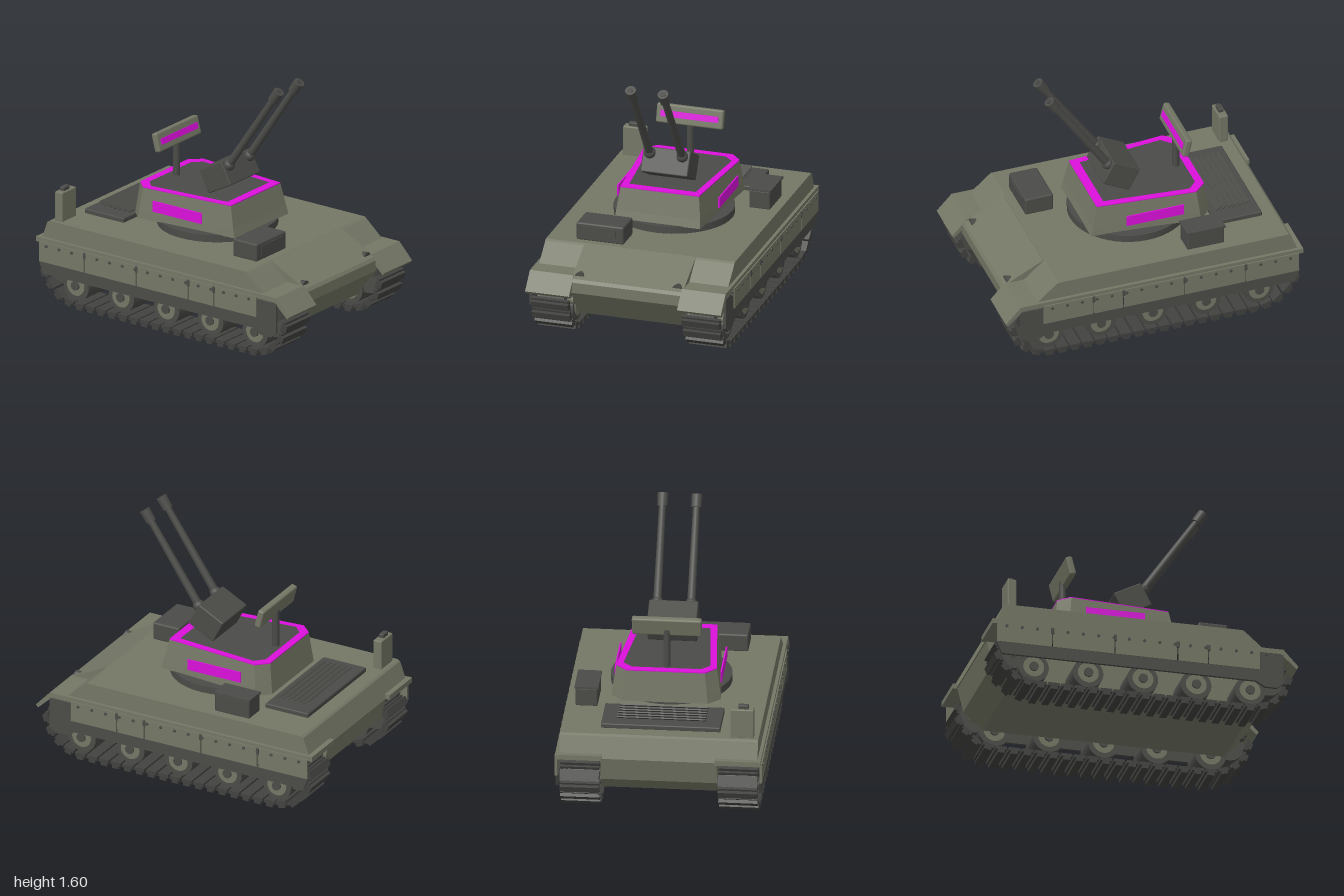
import * as THREE from 'three';
import { RoundedBoxGeometry } from 'three/addons/geometries/RoundedBoxGeometry.js';

const paint = (name, color) => Object.assign(new THREE.MeshStandardMaterial({ color }), { name });

export function createModel() {
  const olive = paint('olive paint', 0x747765);
  const dark = paint('dark metal', 0x4b4c48);
  const rubber = paint('track steel', 0x424340);
  const magenta = paint('magenta marking', 0xdc10dc);
  const model = new THREE.Group();
  model.name = 'twinGunTank';

  const add = (name, geo, mat, x = 0, y = 0, z = 0, parent = model) => {
    const m = new THREE.Mesh(geo, mat);
    m.name = name;
    m.position.set(x, y, z);
    parent.add(m);
    return m;
  };
  // box given by its minimum and maximum corners
  const box = (name, mat, [x0, y0, z0], [x1, y1, z1], round = 0) => {
    const s = [x1 - x0, y1 - y0, z1 - z0];
    const geo = round ? new RoundedBoxGeometry(...s, 2, round) : new THREE.BoxGeometry(...s);
    return add(name, geo, mat, (x0 + x1) / 2, (y0 + y1) / 2, (z0 + z1) / 2);
  };
  const shapeOf = (pts) => new THREE.Shape(pts.map((p) => new THREE.Vector2(...p)));
  // side profile in x and y, swept from z0 to z1
  const slab = (name, mat, pts, z0, z1) =>
    add(name, new THREE.ExtrudeGeometry(shapeOf(pts), { depth: z1 - z0, bevelEnabled: false }), mat, 0, 0, z0);
  const slabPair = (name, mat, pts, z0, z1) => {
    slab(name, mat, pts, z0, z1);
    slab(name, mat, pts, -z1, -z0);
  };

  // Hull
  slab('upperHull', olive, [[-0.975, 0.41], [0.81, 0.41], [0.655, 0.545], [0.64, 0.555], [-0.91, 0.555], [-0.925, 0.545]], -0.63, 0.63);
  slab('lowerHull', olive, [[-0.8, 0.137], [0.78, 0.137], [0.93, 0.33], [0.93, 0.4], [0.915, 0.42],
    [0.65, 0.555], [0.5, 0.5], [-0.9, 0.5], [-0.97, 0.42], [-0.93, 0.25]], -0.37, 0.37);

  // Fenders with sloping front flaps
  slabPair('fender', olive, [[-1, 0.405], [0.885, 0.405], [0.985, 0.312], [1, 0.33], [0.9, 0.438], [-1, 0.438]], 0.36, 0.652);

  // Side skirts: rubber strip, bolted panels and rivets
  slabPair('skirtStrip', dark, [[-0.975, 0.28], [-0.94, 0.2], [0.72, 0.2], [0.78, 0.165], [0.86, 0.165],
    [0.9, 0.2], [0.9, 0.4], [0.75, 0.4], [0.75, 0.28]], 0.637, 0.655);
  const seams = [-0.975, -0.61, -0.2, 0.21, 0.41, 0.75];
  const rivet = new THREE.CylinderGeometry(0.01, 0.01, 0.008, 8).rotateX(Math.PI / 2);
  for (const s of [-1, 1]) {
    for (let i = 0; i < 5; i++) {
      const w = seams[i + 1] - seams[i] - 0.012;
      const cx = (seams[i] + seams[i + 1]) / 2;
      add('skirtPanel', new THREE.BoxGeometry(w, 0.135, 0.016), olive, cx, 0.347, s * 0.652);
      if (i > 0) add('skirtHinge', new THREE.BoxGeometry(0.02, 0.04, 0.012), dark, seams[i], 0.39, s * 0.657);
    }
    for (let i = 0; i < 18; i++) add('skirtRivet', rivet, dark, -0.91 + i * 0.1, 0.39, s * 0.662);
  }

  // Running gear: road wheels, end sprockets and track links
  const disc = (r, d) => new THREE.CylinderGeometry(r, r, d, 28).rotateX(Math.PI / 2);
  const tyre = disc(0.1, 0.2), rim = disc(0.068, 0.212), hub = disc(0.03, 0.235);
  const sprocket = disc(0.1, 0.16);
  const path = new THREE.CurvePath();
  const loop = [[-0.72, 0.03], [0.7, 0.03], [0.81, 0.06], [0.9, 0.14], [0.935, 0.24], [0.89, 0.32], [0.8, 0.355],
    [-0.85, 0.355], [-0.93, 0.32], [-0.968, 0.24], [-0.93, 0.15], [-0.83, 0.06]].map((p) => new THREE.Vector2(...p));
  loop.forEach((p, i) => path.add(new THREE.LineCurve(p, loop[(i + 1) % loop.length])));
  const links = Math.round(path.getLength() / 0.085);
  const plate = new THREE.BoxGeometry(0.074, 0.022, 0.25);
  const pad = new THREE.BoxGeometry(0.046, 0.022, 0.25);
  for (const s of [-1, 1]) {
    for (const x of [-0.72, -0.363, -0.005, 0.343, 0.695]) {
      add('roadWheelTyre', tyre, dark, x, 0.152, s * 0.5);
      add('roadWheelRim', rim, olive, x, 0.152, s * 0.5);
      add('roadWheelHub', hub, dark, x, 0.152, s * 0.5);
    }
    for (const x of [-0.85, 0.82]) {
      add('sprocket', sprocket, dark, x, 0.24, s * 0.5);
      add('sprocketHub', hub, olive, x, 0.24, s * 0.5);
    }
    const track = new THREE.Group();
    track.name = 'track';
    model.add(track);
    for (let i = 0; i < links; i++) {
      const u = (i + 0.5) / links;
      const p = path.getPointAt(u), t = path.getTangentAt(u);
      const link = new THREE.Group();
      link.name = 'trackLink';
      link.position.set(p.x, p.y, s * 0.503);
      link.rotation.z = Math.atan2(t.y, t.x);
      add('linkPlate', plate, rubber, 0, 0.005, 0, link);
      add('linkPad', pad, rubber, 0, -0.017, 0, link);
      track.add(link);
    }
  }

  // Deck fittings
  box('engineGrilleFrame', dark, [-0.82, 0.55, -0.38], [-0.51, 0.585, 0.38], 0.008);
  for (let i = 0; i < 6; i++) {
    const slat = add('grilleSlat', new THREE.BoxGeometry(0.05, 0.007, 0.56), dark, -0.75 + i * 0.037, 0.602, 0);
    slat.rotation.z = -0.55;
  }
  box('frontStowageBox', dark, [0.4, 0.55, 0.13], [0.59, 0.67, 0.445], 0.012);
  box('stowageLid', dark, [0.585, 0.595, 0.18], [0.596, 0.65, 0.4]);
  box('sideStowageBox', dark, [-0.5, 0.55, -0.57], [-0.25, 0.675, -0.43], 0.01);
  box('sideStowageLid', dark, [-0.505, 0.672, -0.577], [-0.245, 0.685, -0.425]);
  box('rearPost', olive, [-0.89, 0.55, 0.45], [-0.83, 0.75, 0.6], 0.008);
  box('rearPostCap', dark, [-0.877, 0.745, 0.5], [-0.843, 0.775, 0.565], 0.006);
  for (const s of [-1, 1]) {
    const lamp = add('headlight', new THREE.CylinderGeometry(0.033, 0.025, 0.06, 16), dark, 0.86, 0.425, s * 0.325);
    lamp.rotation.z = -Math.PI / 2;
  }

  // Turret: tapered six-sided body on a round ring
  add('turretRing', new THREE.CylinderGeometry(0.385, 0.385, 0.05, 48), dark, -0.05, 0.578, 0);
  const outline = (a, az, b, bz, c, cz) => [[a, az], [b, bz], [c, cz], [c, -cz], [b, -bz], [a, -az]];
  const levels = [
    [0.6, outline(-0.5, 0.27, -0.42, 0.348, 0.297, 0.285)],
    [0.655, outline(-0.493, 0.265, -0.415, 0.342, 0.282, 0.28)],
    [0.8, outline(-0.475, 0.25, -0.4, 0.32, 0.25, 0.262)],
  ];
  const verts = [];
  for (let k = 0; k < 2; k++) {
    for (let i = 0; i < 6; i++) {
      const at = ([y, ring], j) => [ring[j % 6][0], y, ring[j % 6][1]];
      const a = at(levels[k], i), b = at(levels[k], i + 1), c = at(levels[k + 1], i + 1), d = at(levels[k + 1], i);
      verts.push(...a, ...b, ...c, ...a, ...c, ...d);
    }
  }
  const body = new THREE.BufferGeometry();
  body.setAttribute('position', new THREE.Float32BufferAttribute(verts, 3));
  body.computeVertexNormals();
  add('turretBody', body, olive);
  const roof = levels[2][1];
  add('turretRoof', new THREE.ShapeGeometry(shapeOf(roof)).rotateX(-Math.PI / 2), dark, 0, 0.799, 0).material.side = THREE.DoubleSide;
  const band = shapeOf(roof);
  band.holes.push(shapeOf(outline(-0.425, 0.22, -0.368, 0.277, 0.192, 0.222)));
  add('roofBand', new THREE.ExtrudeGeometry(band, { depth: 0.007, bevelEnabled: false }).rotateX(-Math.PI / 2), magenta, 0, 0.799, 0);
  for (const s of [-1, 1]) add('turretSidePanel', new THREE.BoxGeometry(0.385, 0.072, 0.009), magenta, -0.117, 0.7, s * 0.337);

  // Twin guns on a tilted cradle
  const cradle = add('gunCradle', new RoundedBoxGeometry(0.2, 0.165, 0.315, 2, 0.008), dark, 0.045, 0.918, 0);
  cradle.rotation.z = 0.48;
  for (const s of [-1, 1]) {
    const gun = new THREE.Group();
    gun.name = 'gun';
    gun.position.set(0.11, 0.99, s * 0.108);
    gun.rotation.z = -Math.atan2(0.4, 0.59);
    add('barrel', new THREE.CylinderGeometry(0.022, 0.027, 0.66, 16), dark, 0, 0.33, 0, gun);
    add('barrelCollar', new THREE.SphereGeometry(0.038, 16, 10), dark, 0, 0.02, 0, gun);
    add('muzzle', new THREE.CylinderGeometry(0.035, 0.033, 0.085, 16), dark, 0, 0.678, 0, gun);
    add('bore', new THREE.CylinderGeometry(0.018, 0.018, 0.004, 12), rubber, 0, 0.721, 0, gun);
    model.add(gun);
  }

  // Radar panel on a mast
  add('radarMast', new THREE.CylinderGeometry(0.023, 0.023, 0.26, 16), dark, -0.375, 0.925, 0);
  const radar = new THREE.Group();
  radar.name = 'radar';
  radar.position.set(-0.376, 1.075, 0);
  radar.rotation.z = 0.25;
  add('radarPanel', new RoundedBoxGeometry(0.044, 0.125, 0.445, 2, 0.012), olive, 0, 0, 0, radar);
  add('radarStripe', new THREE.BoxGeometry(0.008, 0.04, 0.385), magenta, 0.023, 0, 0, radar);
  model.add(radar);

  return model;
}
